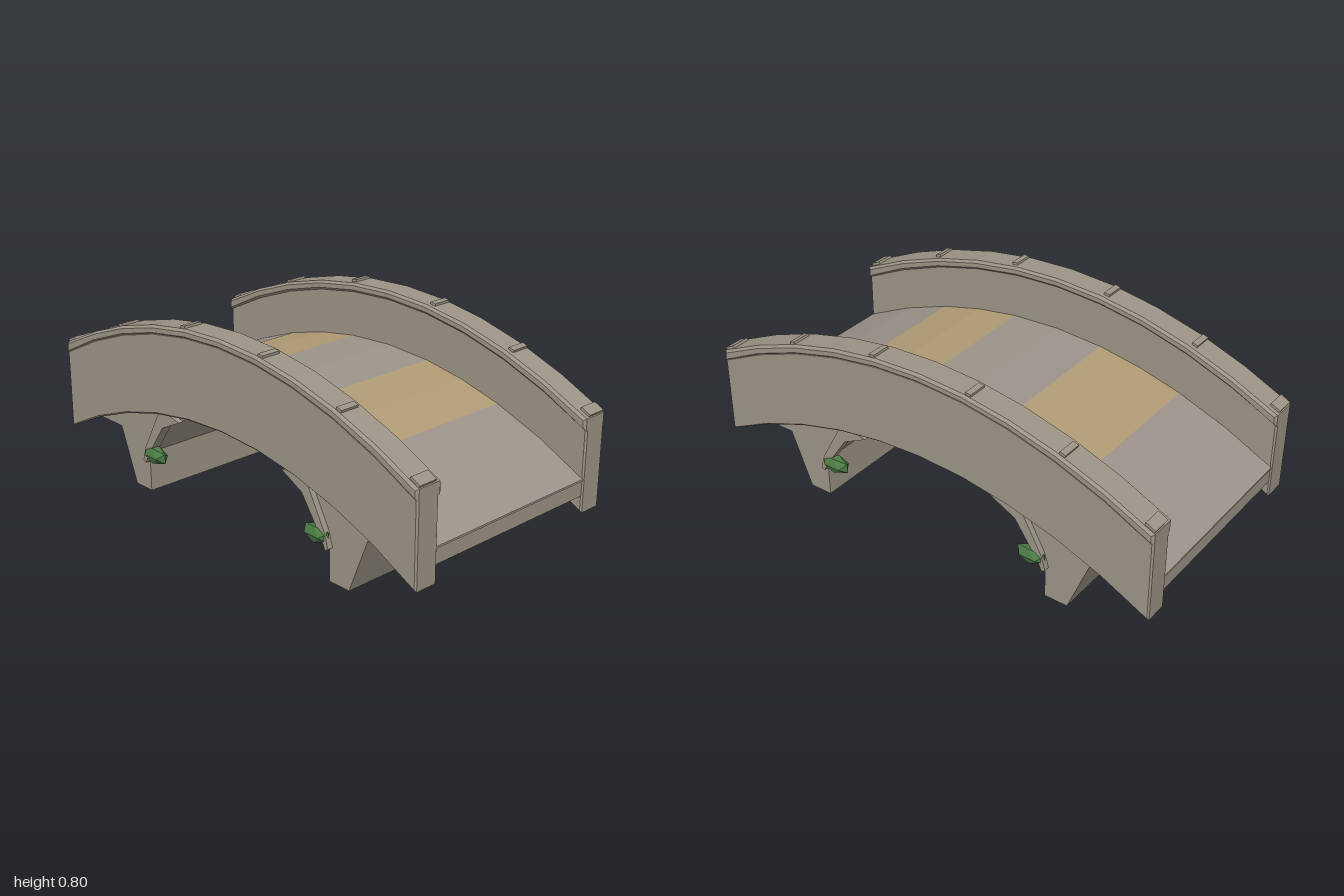
import * as THREE from 'three';

const mat = (name, color, extra = {}) => {
  const m = new THREE.MeshStandardMaterial({ color, ...extra });
  m.name = name;
  return m;
};

// Points of the shared bridge curve, from z = a to z = b, with its crown at height top
function arc(top, drop, a, b, n) {
  const pts = [];
  for (let i = 0; i <= n; i++) {
    const z = a + ((b - a) * i) / n;
    pts.push([z, top - drop * z * z]);
  }
  return pts;
}

// Extrude a (z, y) outline across x, from x0 to x1, with an optional chamfer
function slab(pts, x0, x1, bevel = 0) {
  const shape = new THREE.Shape(pts.map(([z, y]) => new THREE.Vector2(z, y)));
  const g = new THREE.ExtrudeGeometry(shape, {
    depth: x1 - x0 - 2 * bevel,
    bevelEnabled: bevel > 0,
    bevelSize: bevel,
    bevelThickness: bevel,
    bevelOffset: -bevel,
    bevelSegments: 1,
  });
  g.rotateY(-Math.PI / 2);
  g.translate(x1 - bevel, 0, 0);
  return g;
}

export function createModel() {
  const stone = mat('stone', 0x9c9486);
  const paving = mat('paving', 0x9c948b);
  const sand = mat('sand', 0xb09c75);
  const moss = mat('moss', 0x4a7a43);
  const group = new THREE.Group();
  const add = (name, geometry, material, parent = group) => {
    const mesh = new THREE.Mesh(geometry, material);
    mesh.name = name;
    parent.add(mesh);
    return mesh;
  };

  // Arched body with two tapered piers
  const half = [[0.995, 0.23], [0.72, 0.23], [0.63, 0], [0.53, 0], [0.53, 0.17],
    [0.41, 0.32], [0.3, 0.375], [0.16, 0.415]];
  const body = [
    ...arc(0.563, 0.272, -0.995, 0.995, 10),
    ...half,
    [0, 0.43],
    ...half.map(([z, y]) => [-z, y]).reverse(),
  ];
  add('archBody', slab(body, -0.44, 0.44), stone);

  // Paving bands laid over the deck
  const bands = [-0.998, -0.58, -0.21, 0.21, 0.58, 0.998];
  for (let i = 0; i < 5; i++) {
    const a = bands[i], b = bands[i + 1];
    const top = arc(0.57, 0.272, a, b, 2);
    const low = arc(0.562, 0.272, a, b, 2).reverse();
    add('pavingBand', slab([...top, ...low], -0.395, 0.395), i % 2 ? sand : paving);
  }

  for (const side of [1, -1]) {
    const wall = new THREE.Group();
    wall.name = side > 0 ? 'leftParapet' : 'rightParapet';
    group.add(wall);
    const span = (x0, x1) => (side > 0 ? [x0, x1] : [-x1, -x0]);

    // Parapet wall and its coping
    add('parapetWall', slab([
      ...arc(0.77, 0.27, -1, 1, 10),
      ...arc(0.432, 0.27, 1, -1, 10),
    ], ...span(0.392, 0.496), 0.007), stone, wall);
    add('coping', slab([
      ...arc(0.798, 0.26, -1, 1, 10),
      ...arc(0.76, 0.27, 1, -1, 10),
    ], ...span(0.38, 0.5), 0.01), stone, wall);

    // Small raised joints along the coping
    for (const z of [-0.975, -0.62, -0.22, 0.22, 0.62, 0.975]) {
      const joint = add('copingJoint', new THREE.BoxGeometry(0.08, 0.02, z * z > 0.8 ? 0.045 : 0.025), stone, wall);
      joint.position.set(side * 0.447, 0.797 - 0.26 * z * z, z);
      joint.rotation.x = Math.atan(0.52 * z);
    }

    for (const end of [1, -1]) {
      // Springing stones at the foot of the arch
      const trim = [[0.53, 0.13], [0.545, 0.14], [0.527, 0.2], [0.425, 0.385], [0.36, 0.385],
        [0.3, 0.372], [0.408, 0.318], [0.51, 0.17]];
      add('archTrim', slab(trim.map(([z, y]) => [z * end, y]), ...span(0.42, 0.463)), stone, wall);

      // Moss clump
      const g = new THREE.IcosahedronGeometry(1, 0);
      g.scale(0.036, 0.038, 0.07);
      const clump = add('mossClump', g, moss, wall);
      clump.position.set(side * 0.45, 0.178, end * 0.475);
    }
  }
  moss.flatShading = true;
  return group;
}
